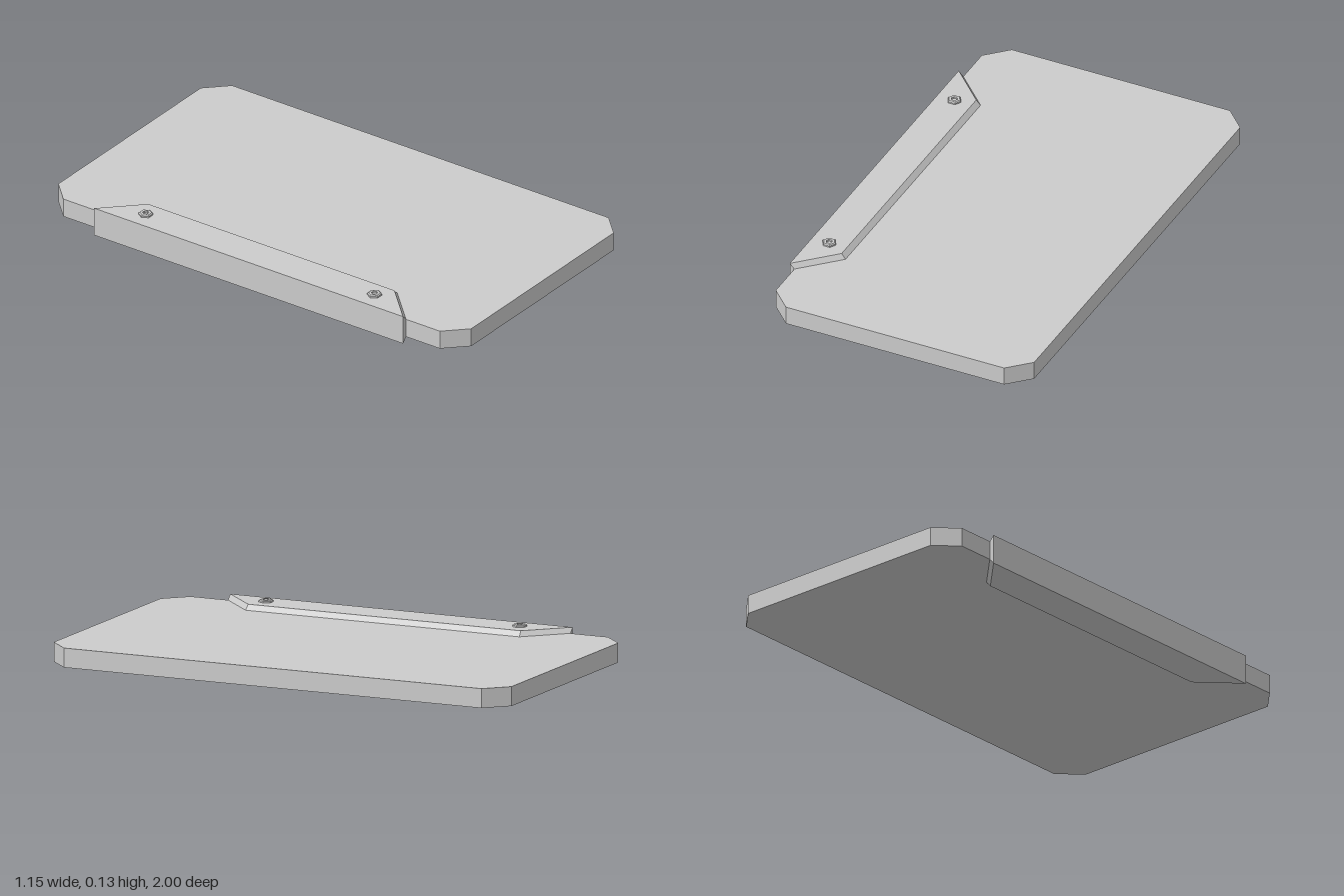
import * as THREE from 'three';

const grey = () => new THREE.MeshStandardMaterial({ color: 0xcccccc, flatShading: true });

function part(name, geometry) {
  const mesh = new THREE.Mesh(geometry, grey());
  mesh.name = name;
  return mesh;
}

// Flat board with four clipped corners
function boardGeometry(x0, x1, zHalf, cut, y0, y1) {
  const shape = new THREE.Shape([
    [x0 + cut, -zHalf], [x1 - cut, -zHalf], [x1, -zHalf + cut], [x1, zHalf - cut],
    [x1 - cut, zHalf], [x0 + cut, zHalf], [x0, zHalf - cut], [x0, -zHalf + cut],
  ].map(([x, z]) => new THREE.Vector2(x, z)));
  const g = new THREE.ExtrudeGeometry(shape, { depth: y1 - y0, bevelEnabled: false });
  return g.rotateX(-Math.PI / 2).translate(0, y0, 0);
}

// C-shaped channel whose lips get shorter at 45 degrees away from the back wall
function channelGeometry() {
  const zEnd = 0.748;
  const outer = [[-0.425, 0], [-0.577, 0], [-0.577, 0.121], [-0.425, 0.121]];
  const inner = [[-0.407, 0.022], [-0.557, 0.022], [-0.557, 0.1], [-0.407, 0.1]];
  const ring = (pts, s) => pts.map(([x, y]) =>
    new THREE.Vector3(x, y, s * (zEnd - (x - pts[1][0]))));
  const [of, ob, nf, nb] = [ring(outer, 1), ring(outer, -1), ring(inner, 1), ring(inner, -1)];
  const pos = [];
  const quad = (a, b, c, d) => [a, b, c, a, c, d].forEach((p) => pos.push(p.x, p.y, p.z));
  for (let k = 0; k < 3; k++) {
    quad(of[k], of[k + 1], ob[k + 1], ob[k]); // outside
    quad(nf[k], nb[k], nb[k + 1], nf[k + 1]); // inside
    quad(nf[k], nf[k + 1], of[k + 1], of[k]); // front end
    quad(ob[k], ob[k + 1], nb[k + 1], nb[k]); // back end
  }
  quad(of[0], ob[0], nb[0], nf[0]); // lower lip edge
  quad(nf[3], nb[3], ob[3], of[3]); // upper lip edge
  const g = new THREE.BufferGeometry();
  g.setAttribute('position', new THREE.Float32BufferAttribute(pos, 3));
  g.computeVertexNormals();
  return g;
}

// Six-sided bolt head with a chamfered rim and a socket
function boltGeometry() {
  const profile = [[0.029, -0.002], [0.029, 0.006], [0.024, 0.01], [0.013, 0.01], [0.013, 0.002], [0, 0.002]]
    .map(([r, y]) => new THREE.Vector2(r, y));
  return new THREE.LatheGeometry(profile, 6).rotateY(Math.PI / 6);
}

export function createModel() {
  const model = new THREE.Group();
  model.name = 'boardWithEdgeClip';
  model.add(part('board', boardGeometry(-0.557, 0.575, 1, 0.088, 0.022, 0.1)));
  model.add(part('edgeClip', channelGeometry()));
  for (const s of [-1, 1]) {
    const bolt = part(s > 0 ? 'frontBolt' : 'backBolt', boltGeometry());
    bolt.position.set(-0.5, 0.121, s * 0.554);
    model.add(bolt);
  }
  return model;
}
